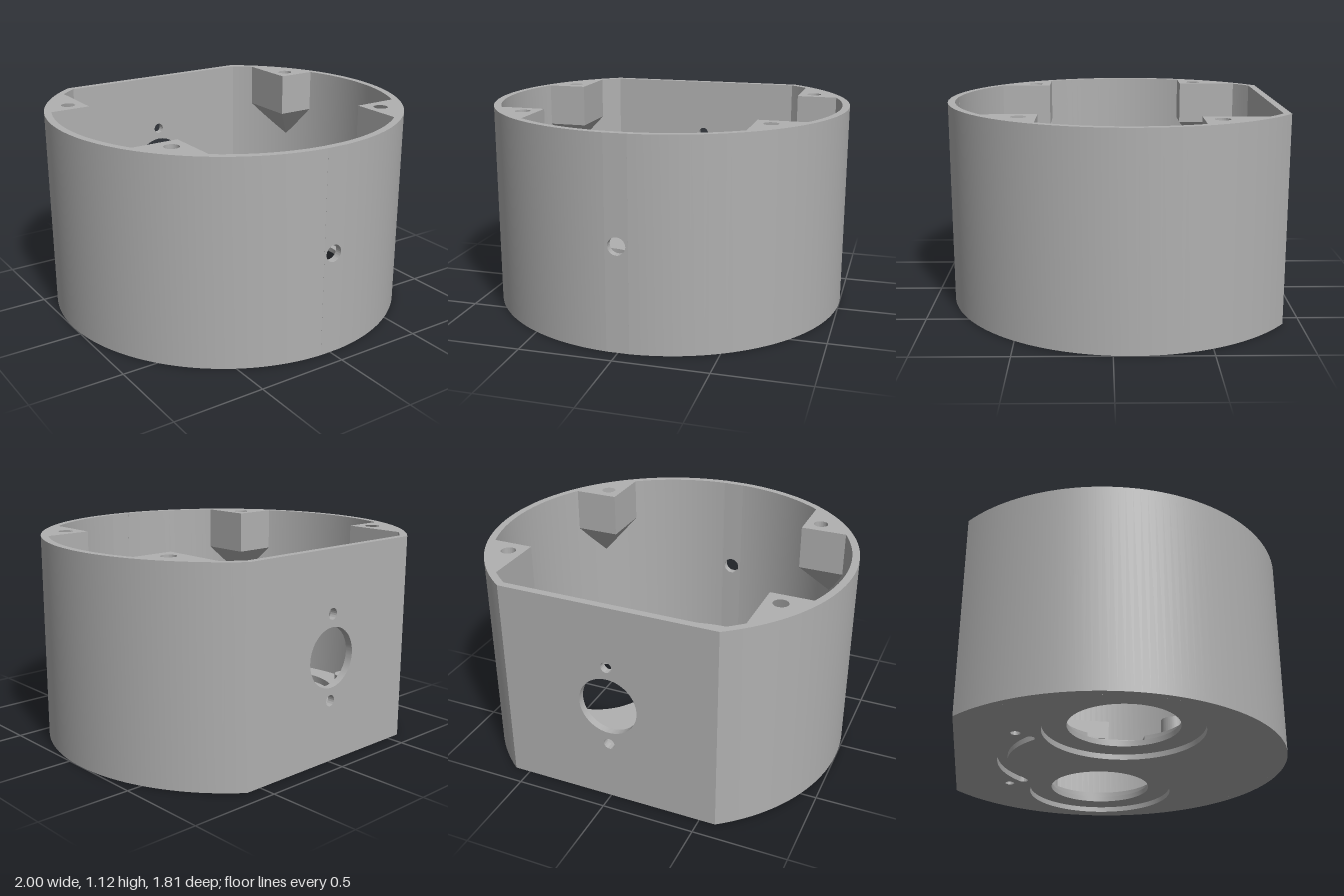
import * as THREE from 'three';
import { toCreasedNormals } from 'three/addons/utils/BufferGeometryUtils.js';
import { ConvexGeometry } from 'three/addons/geometries/ConvexGeometry.js';

const HEIGHT = 1.125, OUTER = 1, INNER = 0.96, FLAT = 0.81, WALL = 0.04;
const EYE_X = 0.5, EYE_V = -0.04;   // plan coordinates: x, and v pointing to the back
const FLOOR = 0.1, SEAM = 0.06;     // floor thickness, half width of the front strip

export function createModel() {
  const grey = new THREE.MeshStandardMaterial({ color: 0xb0b0b0 });
  grey.name = 'plain grey';
  const model = new THREE.Group();
  model.name = 'housing';
  const body = new THREE.Group();
  body.name = 'body';
  body.position.z = -0.095;
  model.add(body);

  const add = (name, geometry) => {
    const mesh = new THREE.Mesh(geometry, grey);
    mesh.name = name;
    body.add(mesh);
    return mesh;
  };
  const extrude = (shape, depth) => toCreasedNormals(
    new THREE.ExtrudeGeometry(shape, { depth, bevelEnabled: false, curveSegments: 64 }), 0.5);
  // Extrude a plan shape upward from y0 to y1
  const slab = (name, shape, y0, y1) => {
    const geometry = extrude(shape, y1 - y0);
    geometry.rotateX(-Math.PI / 2);
    geometry.translate(0, y0, 0);
    return add(name, geometry);
  };
  const circle = (x, y, r) => new THREE.Path().absarc(x, y, r, 0, Math.PI * 2, true);
  const rect = (x0, y0, x1, y1) => new THREE.Shape([
    new THREE.Vector2(x0, y0), new THREE.Vector2(x1, y0),
    new THREE.Vector2(x1, y1), new THREE.Vector2(x0, y1)]);
  const arcPoints = (r, a0, a1, n) => Array.from({ length: n + 1 }, (_, i) => {
    const a = a0 + (a1 - a0) * i / n;
    return new THREE.Vector2(r * Math.cos(a), r * Math.sin(a));
  });
  const mirrored = (points, side) => points.map(p => new THREE.Vector2(p.x * side, p.y));

  // Curved side walls, from the front strip round to the flat back
  const innerFlat = FLAT - WALL;
  const innerX = Math.sqrt(INNER ** 2 - innerFlat ** 2);
  const sideWall = [
    ...arcPoints(OUTER, -Math.PI / 2 + Math.asin(SEAM / OUTER), Math.asin(FLAT / OUTER), 64),
    new THREE.Vector2(innerX, FLAT),
    ...arcPoints(INNER, Math.asin(innerFlat / INNER), -Math.PI / 2 + Math.asin(SEAM / INNER), 64),
  ];
  for (const side of [1, -1]) {
    slab(side > 0 ? 'leftWall' : 'rightWall', new THREE.Shape(mirrored(sideWall, side)), 0, HEIGHT);
  }

  // Front strip with its small round opening
  const frontStrip = rect(-SEAM, 0, SEAM, HEIGHT);
  frontStrip.holes.push(circle(0, HEIGHT / 2, 0.047));
  add('frontWall', extrude(frontStrip, WALL)).position.z = 0.9585;

  // Flat back panel with a connector opening and two screw holes
  const backPanel = rect(-innerX, 0, innerX, HEIGHT);
  backPanel.holes.push(circle(0, HEIGHT / 2, 0.16));
  for (const dy of [-0.229, 0.229]) backPanel.holes.push(circle(0, HEIGHT / 2 + dy, 0.03));
  add('backWall', extrude(backPanel, WALL)).position.z = -FLAT;

  // Floor layers
  const floorShape = () => {
    const a = Math.asin(innerFlat / INNER);
    return new THREE.Shape(arcPoints(INNER, -Math.PI - a, a, 128));
  };

  // Underside: round recesses, curved groove and two dimples
  const underside = floorShape();
  const groove = new THREE.Path();
  const mid = Math.PI / 2, spread = 0.73, gr = 0.51, gw = 0.028, gv = 0.045;
  groove.absarc(0, gv, gr + gw, mid - spread, mid + spread, false);
  groove.absarc(-gr * Math.sin(spread), gv + gr * Math.cos(spread), gw,
    mid + spread, mid + spread + Math.PI, false);
  groove.absarc(0, gv, gr - gw, mid + spread, mid - spread, true);
  groove.absarc(gr * Math.sin(spread), gv + gr * Math.cos(spread), gw,
    mid - spread - Math.PI, mid - spread, false);
  underside.holes.push(groove);

  // Middle: thin lips around the large openings; upper: keyed seats
  const lips = floorShape();
  const seats = floorShape();
  const seatR = 0.33, keyHalf = 0.155, keyAngle = Math.asin(keyHalf / seatR);
  const seat = [
    ...arcPoints(seatR, -Math.PI + keyAngle, Math.PI - keyAngle, 64)
      .map(p => new THREE.Vector2(p.x + EYE_X, p.y + EYE_V)),
    new THREE.Vector2(0.125, EYE_V + keyHalf),
    new THREE.Vector2(0.125, EYE_V - keyHalf),
  ];
  for (const side of [1, -1]) {
    underside.holes.push(circle(side * EYE_X, EYE_V, 0.417), circle(side * 0.405, 0.5, 0.026));
    lips.holes.push(circle(side * EYE_X, EYE_V, 0.29));
    seats.holes.push(new THREE.Path(mirrored(seat, side)));
  }
  slab('floorUnderside', underside, 0, 0.03);
  slab('floorLips', lips, 0.03, 0.06);
  slab('floorSeats', seats, 0.06, FLOOR);

  // Low central block running to the back wall
  slab('centreBlock', rect(-0.13, -0.01, 0.13, innerFlat), FLOOR, 0.2);

  // Hollow screw posts on the floor
  for (const side of [1, -1]) {
    for (const [x, v] of [[0.785, 0.265], [0.215, -0.355]]) {
      const post = new THREE.Shape().absarc(side * x, v, 0.07, 0, Math.PI * 2, false);
      post.holes.push(circle(side * x, v, 0.04));
      slab('screwPost', post, FLOOR, 0.19);
    }
  }

  // Corner lugs at the rim, tapering to a point on the wall
  const lugBottom = HEIGHT - 0.245, r = 0.975;
  for (const side of [1, -1]) {
    for (const [x, v, name] of [[0.67, 0.35, 'backLug'], [0.585, 0.47, 'frontLug']]) {
      const end = name === 'backLug' ? 1 : -1;
      const outline = [new THREE.Vector2(x, v), ...arcPoints(r, Math.asin(v / r), Math.acos(x / r), 12)]
        .map(p => new THREE.Vector2(p.x * side, p.y * end));
      const lug = new THREE.Shape(outline);
      lug.holes.push(circle(side * (x + 0.085), end * (v + 0.09), 0.04));
      slab(name, lug, lugBottom, HEIGHT);
      const taper = outline.map(p => new THREE.Vector3(p.x, lugBottom, -p.y));
      taper.push(new THREE.Vector3(side * (x + 0.16), lugBottom - 0.2, -end * (v + 0.16)));
      add(name + 'Taper', new ConvexGeometry(taper));
    }
  }
  return model;
}
